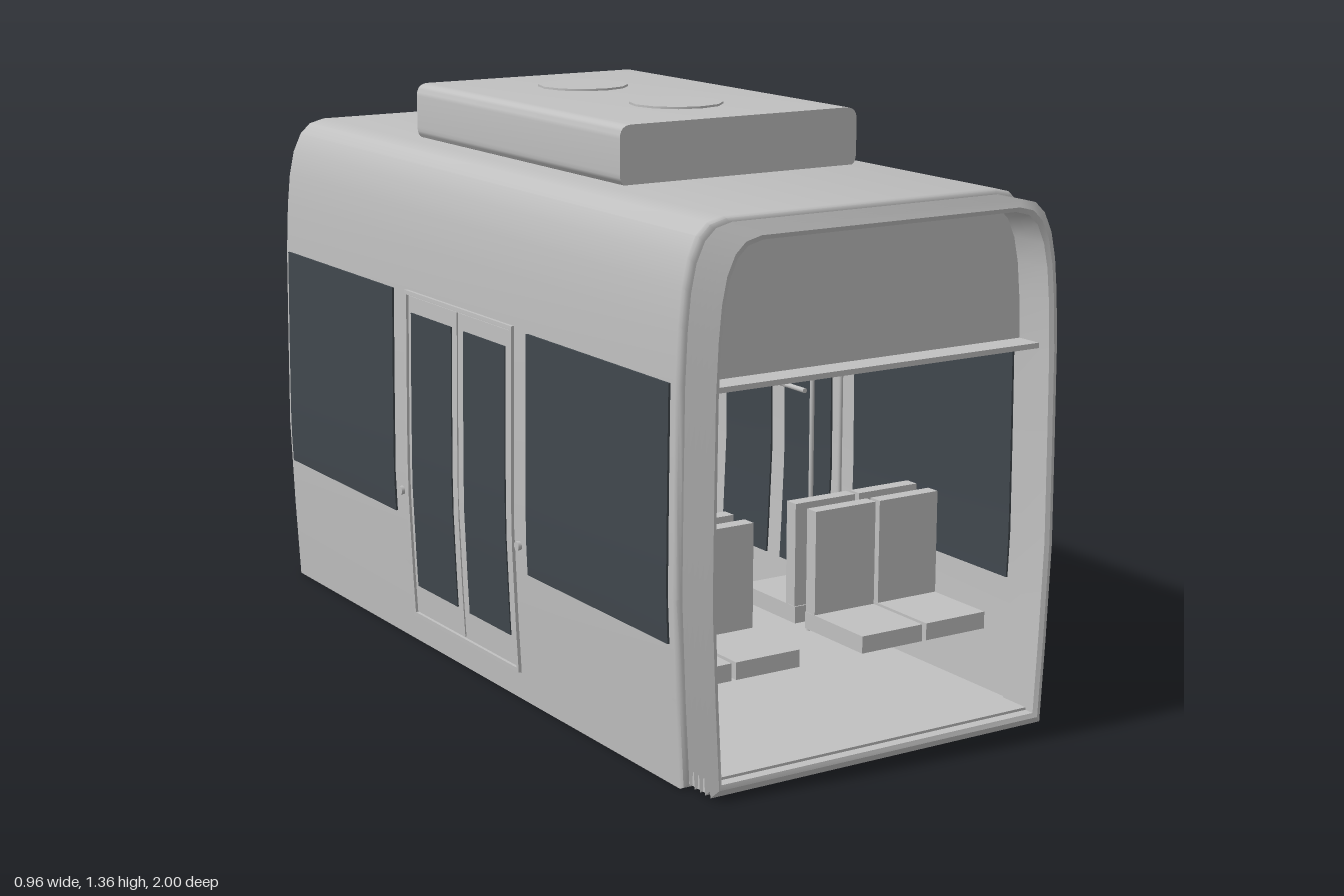
import * as THREE from 'three';
import { toCreasedNormals } from 'three/addons/utils/BufferGeometryUtils.js';

const H = 1.22;
// half outline of the body, bottom to roof
const HALF = [[0.455, 0], [0.466, 0.2], [0.475, 0.42], [0.473, 0.65], [0.47, 0.88], [0.464, 1.0],
  [0.456, 1.08], [0.443, 1.14], [0.422, 1.185], [0.395, 1.21], [0.355, 1.22]];

// half width of the body at height y
function widthAt(y) {
  for (let i = 1; i < HALF.length; i++) {
    const [x0, y0] = HALF[i - 1], [x1, y1] = HALF[i];
    if (y <= y1) return x0 + (x1 - x0) * Math.max(0, (y - y0) / (y1 - y0));
  }
  return HALF[HALF.length - 1][0];
}

// closed outline, counter-clockwise seen from the front, shrunk by inset
function outline(inset) {
  const half = HALF.map(([x, y]) => [x * (1 - inset / 0.475), inset + y * (1 - 2 * inset / H)]);
  return [...half, ...half.map(([x, y]) => [-x, y]).reverse()];
}

// skin through sections [z, inset]
function loft(sections) {
  const rings = sections.map(([z, inset]) => outline(inset).map(([x, y]) => [x, y, z]));
  const n = rings[0].length, pos = [];
  for (let i = 0; i < rings.length - 1; i++) {
    for (let j = 0; j < n; j++) {
      const k = (j + 1) % n;
      const a = rings[i][j], b = rings[i][k], c = rings[i + 1][j], d = rings[i + 1][k];
      pos.push(...a, ...c, ...b, ...b, ...c, ...d);
    }
  }
  const g = new THREE.BufferGeometry();
  g.setAttribute('position', new THREE.Float32BufferAttribute(pos, 3));
  return toCreasedNormals(g, 0.65);
}

export function createModel() {
  const root = new THREE.Group();
  root.name = 'tramSection';
  const grey = new THREE.MeshStandardMaterial({ color: 0xc0c0c0 });
  grey.name = 'bodyGrey';
  grey.side = THREE.DoubleSide;
  const glass = new THREE.MeshStandardMaterial({ color: 0x40474d });
  glass.name = 'darkGlass';

  const add = (name, geo, mat = grey, x = 0, y = 0, z = 0) => {
    const m = new THREE.Mesh(geo, mat);
    m.name = name;
    m.position.set(x, y, z);
    root.add(m);
    return m;
  };
  // box from its limits
  const box = (name, x0, x1, y0, y1, z0, z1, mat) => add(name,
    new THREE.BoxGeometry(x1 - x0, y1 - y0, z1 - z0), mat, (x0 + x1) / 2, (y0 + y1) / 2, (z0 + z1) / 2);
  const pole = (name, x, z, y0, y1, r = 0.006) =>
    add(name, new THREE.CylinderGeometry(r, r, y1 - y0, 10), grey, x, (y0 + y1) / 2, z);
  // thin plate bent to the body side
  const sidePlate = (name, s, z0, z1, y0, y1, offset, t, mat) => {
    const g = new THREE.BoxGeometry(t, y1 - y0, z1 - z0, 1, 8, 1);
    g.translate(0, (y0 + y1) / 2, (z0 + z1) / 2);
    const p = g.attributes.position;
    for (let i = 0; i < p.count; i++) p.setX(i, p.getX(i) + s * (widthAt(p.getY(i)) + offset));
    g.computeVertexNormals();
    return add(name, g, mat);
  };

  // body shell with softened ends
  add('bodyShell', loft([[0.9, 0.03], [0.9, 0.012], [0.896, 0.004], [0.888, 0], [-0.988, 0],
    [-0.996, 0.004], [-1, 0.012], [-1, 0.03], [0.9, 0.03]]));

  // gangway bellows
  const folds = [[0.89, 0.03]];
  for (let i = 0; i < 5; i++) folds.push([0.9 + i * 0.02, 0.026], [0.91 + i * 0.02, 0.01]);
  folds.push([1, 0.026], [0.995, 0.036], [0.89, 0.036]);
  add('gangwayBellows', loft(folds));

  // floor and ceiling
  box('floor', -0.44, 0.44, 0.012, 0.042, -0.985, 0.97);
  box('ceiling', -0.435, 0.435, 0.868, 0.88, -0.985, 0.96);
  for (const s of [-1, 1]) box('ceilingLight', s * 0.2 - 0.015, s * 0.2 + 0.015, 0.862, 0.868, -0.7, 0.7);

  // front panel above the ceiling
  const upper = outline(0.028).filter(([, y]) => y > 0.9);
  const header = new THREE.Shape([[0.44, 0.872], ...upper, [-0.44, 0.872]].map(p => new THREE.Vector2(...p)));
  add('frontHeader', new THREE.ExtrudeGeometry(header, { depth: 0.02, bevelEnabled: false }), grey, 0, 0, 0.875);

  // rear wall with arched opening
  const wall = new THREE.Shape(outline(0.014).map(p => new THREE.Vector2(...p)));
  const arch = new THREE.Path();
  arch.moveTo(-0.432, 0.042);
  arch.lineTo(0.432, 0.042);
  arch.lineTo(0.44, 0.4);
  arch.lineTo(0.432, 0.7);
  arch.bezierCurveTo(0.425, 0.82, 0.4, 0.87, 0.34, 0.872);
  arch.lineTo(-0.34, 0.872);
  arch.bezierCurveTo(-0.4, 0.87, -0.425, 0.82, -0.432, 0.7);
  arch.lineTo(-0.44, 0.4);
  wall.holes.push(arch);
  add('rearWall', new THREE.ExtrudeGeometry(wall, { depth: 0.018, bevelEnabled: false }), grey, 0, 0, -0.998);

  // roof unit with rounded long edges
  const w = 0.32, y0 = 1.215, y1 = 1.353, r = 0.03;
  const unit = new THREE.Shape();
  unit.moveTo(-w + r, y0);
  unit.lineTo(w - r, y0);
  unit.quadraticCurveTo(w, y0, w, y0 + r);
  unit.lineTo(w, y1 - r);
  unit.quadraticCurveTo(w, y1, w - r, y1);
  unit.lineTo(-w + r, y1);
  unit.quadraticCurveTo(-w, y1, -w, y1 - r);
  unit.lineTo(-w, y0 + r);
  unit.quadraticCurveTo(-w, y0, -w + r, y0);
  add('roofUnit', toCreasedNormals(new THREE.ExtrudeGeometry(unit,
    { depth: 0.955, bevelEnabled: false, curveSegments: 6 }), 0.65), grey, 0, 0, -0.525);
  for (const z of [-0.26, 0.16]) add('roofFan', new THREE.CylinderGeometry(0.11, 0.11, 0.008, 12), grey, 0, 1.354, z);

  for (const s of [-1, 1]) {
    // windows, outside and inside
    for (const [z0, z1] of [[0.28, 0.87], [-0.97, -0.375]]) {
      sidePlate('window', s, z0, z1, 0.32, 0.88, 0.001, 0.008, glass);
      sidePlate('windowInside', s, z0, z1, 0.32, 0.866, -0.031, 0.008, glass);
    }
    // door frame
    for (const [a, b] of [[0.208, 0.218], [-0.305, -0.295]])
      sidePlate('doorFrameSide', s, a, b, 0.07, 0.885, 0.002, 0.012);
    sidePlate('doorFrameTop', s, -0.305, 0.218, 0.877, 0.887, 0.002, 0.012);
    sidePlate('doorSill', s, -0.305, 0.218, 0.067, 0.077, 0.002, 0.012);
    // door leaves
    for (const [a, b, g0, g1] of [[-0.042, 0.205, -0.012, 0.185], [-0.292, -0.048, -0.275, -0.072]]) {
      sidePlate('doorLeaf', s, a, b, 0.08, 0.874, 0, 0.006);
      sidePlate('doorGlass', s, g0, g1, 0.15, 0.835, 0.002, 0.008, glass);
      sidePlate('doorGlassInside', s, g0, g1, 0.15, 0.835, -0.031, 0.008, glass);
    }
    // door buttons
    for (const z of [0.24, -0.34]) {
      const b = add('doorButton', new THREE.CylinderGeometry(0.011, 0.011, 0.012, 12), grey, s * 0.476, 0.38, z);
      b.rotation.z = Math.PI / 2;
    }
    // grab poles and overhead rail
    for (const z of [0.25, -0.35]) {
      pole('seatPole', s * 0.335, z, 0.04, 0.868);
      pole('doorPole', s * 0.42, z, 0.04, 0.868);
    }
    const rail = add('overheadRail', new THREE.CylinderGeometry(0.006, 0.006, 1, 10), grey, s * 0.17, 0.705, -0.05);
    rail.rotation.x = Math.PI / 2;

    // back-to-back seats near each end
    for (const cz of [0.56, -0.64]) for (const d of [-1, 1]) for (const x of [0.17, 0.35]) {
      const seat = new THREE.Group();
      seat.name = 'seat';
      const pan = new THREE.Mesh(new THREE.BoxGeometry(0.168, 0.04, 0.22), grey);
      pan.name = 'seatPan';
      pan.position.set(0, 0.2, d * 0.13);
      const back = new THREE.Mesh(new THREE.BoxGeometry(0.168, 0.245, 0.035), grey);
      back.name = 'seatBack';
      back.position.set(0, 0.343, d * 0.04);
      seat.add(pan, back);
      seat.position.set(s * x, 0, cz);
      root.add(seat);
    }
  }

  // centre pole and hanging display
  pole('centrePole', 0, -0.05, 0.04, 0.87);
  box('displayCase', -0.123, 0.123, 0.757, 0.842, 0.48, 0.52);
  box('displayHanger', -0.01, 0.01, 0.842, 0.87, 0.49, 0.51);
  for (const z of [0.478, 0.522]) box('displayScreen', -0.115, 0.115, 0.764, 0.835, z - 0.003, z + 0.003, glass);

  return root;
}
